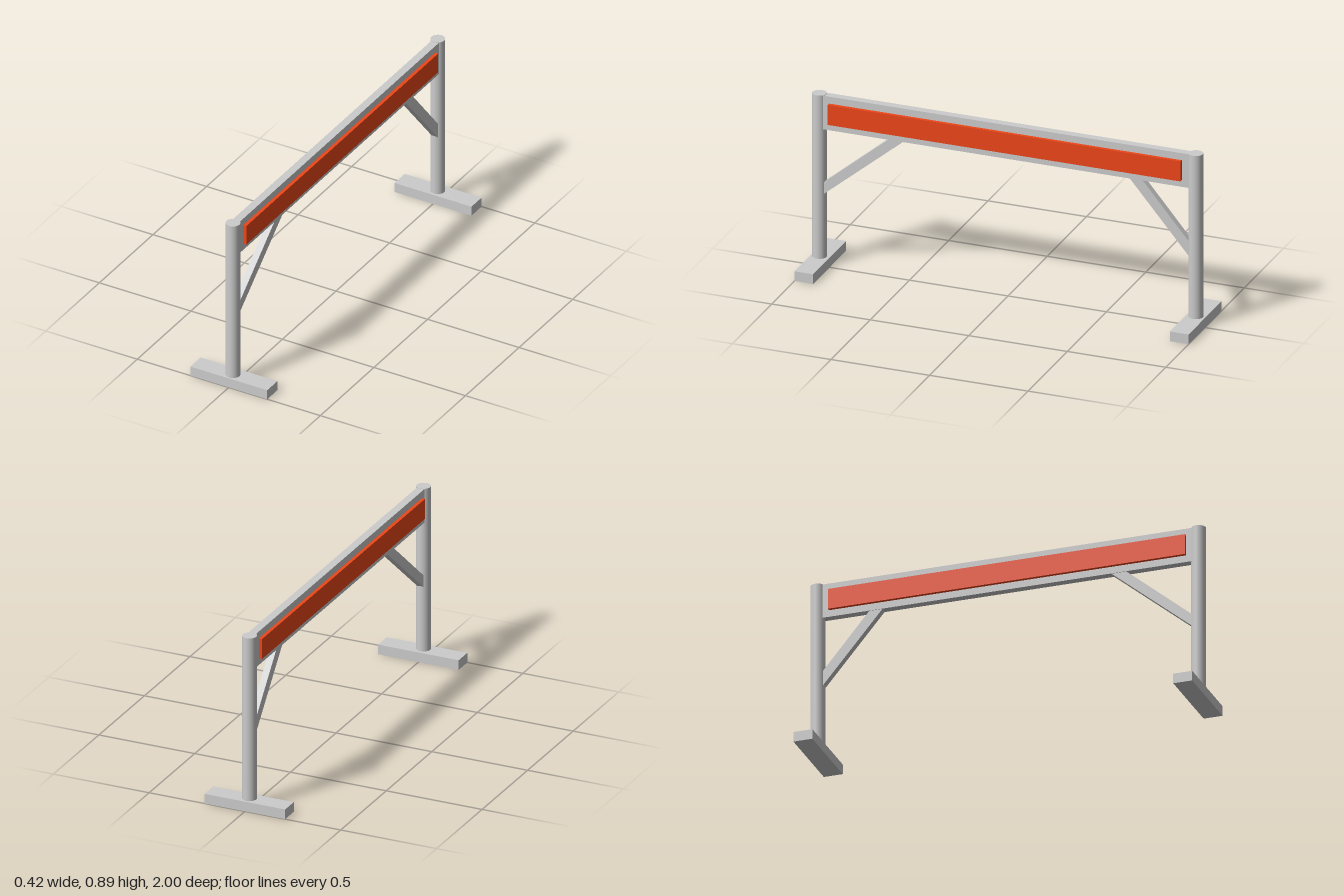
import * as THREE from 'three';

export function createModel() {
  const model = new THREE.Group();
  model.name = 'barrier';
  const grey = new THREE.MeshStandardMaterial({ color: 0xcccccc });
  const orange = new THREE.MeshStandardMaterial({ color: 0xec4719 });

  function add(name, geometry, material, x = 0, y = 0, z = 0) {
    const mesh = new THREE.Mesh(geometry, material);
    mesh.name = name;
    mesh.position.set(x, y, z);
    model.add(mesh);
  }

  // Box given by its width, y range and z range
  function addBox(name, width, [y0, y1], [z0, z1], material) {
    add(name, new THREE.BoxGeometry(width, y1 - y0, z1 - z0), material,
      0, (y0 + y1) / 2, (z0 + z1) / 2);
  }

  // Slanted strut: side outline as [z, y] corners, extruded across x
  function addBrace(name, corners, width) {
    const shape = new THREE.Shape(corners.map(([z, y]) => new THREE.Vector2(z, y)));
    const geometry = new THREE.ExtrudeGeometry(shape, { depth: width, bevelEnabled: false });
    geometry.translate(0, 0, -width / 2).rotateY(-Math.PI / 2);
    add(name, geometry, grey);
  }

  // Feet and round posts
  addBox('frontFoot', 0.42, [0, 0.05], [0.905, 1], grey);
  addBox('backFoot', 0.42, [0, 0.05], [-1, -0.905], grey);
  for (const [name, z] of [['frontPost', 0.957], ['backPost', -0.953]]) {
    add(name, new THREE.CylinderGeometry(0.035, 0.035, 0.84, 32), grey, -0.002, 0.47, z);
  }

  // Crossbeam with a coloured board standing proud on both sides
  addBox('crossbeam', 0.04, [0.715, 0.888], [-0.93, 0.935], grey);
  for (const side of [-1, 1]) {
    const board = new THREE.BoxGeometry(0.02, 0.103, 1.79);
    add(side > 0 ? 'leftBoard' : 'rightBoard', board, orange, side * 0.027, 0.801, 0.005);
  }

  // Diagonal braces from posts to crossbeam; the back one is steeper
  addBrace('frontBrace', [[0.95, 0.363], [0.95, 0.423], [0.6, 0.715], [0.525, 0.715]], 0.034);
  addBrace('backBrace', [[-0.945, 0.338], [-0.945, 0.413], [-0.69, 0.715], [-0.624, 0.715]], 0.034);

  return model;
}
